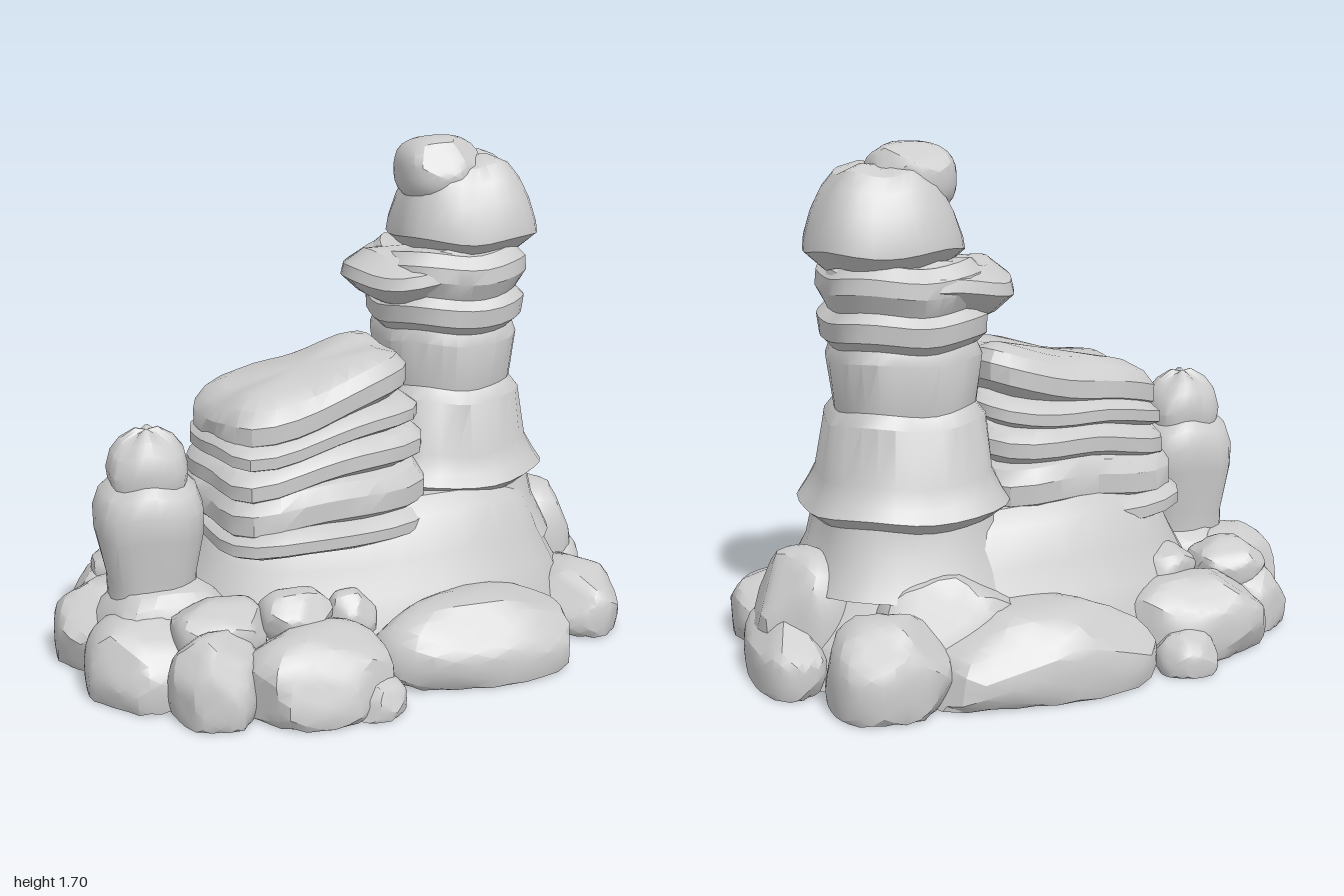
import * as THREE from 'three';
import { toCreasedNormals } from 'three/addons/utils/BufferGeometryUtils.js';

const FLOOR = 0.01;

function seeded(seed) {
  let s = seed * 7919 + 17;
  return () => (s = (s * 16807) % 2147483647) / 2147483647;
}

// Rounded-box footprint [x0, x1, z0, z1] lofted upward through a profile of [y, outset]
function strata([x0, x1, z0, z1], profile, { power = 2.6, seed = 1, slope = 0, sides = 32 } = {}) {
  const pos = [], idx = [], last = profile.length - 1, rough = 0.025;
  const cx = (x0 + x1) / 2, cz = (z0 + z1) / 2;
  profile.forEach(([y, outset], j) => {
    for (let i = 0; i < sides; i++) {
      const a = (i / sides) * Math.PI * 2, c = Math.cos(a), s = Math.sin(a);
      const r = Math.pow(Math.abs(c) ** power + Math.abs(s) ** power, -1 / power);
      const k = r * (1 + rough * (Math.sin(3 * a + seed + y * 5) * 0.6 + Math.sin(7 * a + seed * 2 - y * 9) * 0.5));
      const x = c * k * ((x1 - x0) / 2 + outset);
      const wave = y > FLOOR ? 0.01 * Math.sin(4 * a + seed) : 0;
      pos.push(cx + x, y + slope * x + wave, cz + s * k * ((z1 - z0) / 2 + outset));
      const A = j * sides + i, B = j * sides + (i + 1) % sides;
      if (j < last) idx.push(A, A + sides, B, B, A + sides, B + sides);
    }
  });
  // Close both ends
  [0, last].forEach((j) => {
    const m = pos.length / 3;
    pos.push(cx, profile[j][0], cz);
    for (let i = 0; i < sides; i++) {
      const a = j * sides + i, b = j * sides + (i + 1) % sides;
      if (j) idx.push(m, b, a);
      else idx.push(m, a, b);
    }
  });
  const g = new THREE.BufferGeometry();
  g.setAttribute('position', new THREE.Float32BufferAttribute(pos, 3));
  g.setIndex(idx);
  return toCreasedNormals(g, 0.55);
}

// Rounded stone chipped by random planes and cut flat at the floor
function boulder(x, z, rx, rz, bottom, top, seed) {
  const rnd = seeded(seed), planes = [];
  for (let i = 0; i < 16; i++) {
    const n = new THREE.Vector3(rnd() - 0.5, rnd() - 0.4, rnd() - 0.5).normalize();
    planes.push([n, 0.9 + rnd() * 0.1]);
  }
  const g = new THREE.IcosahedronGeometry(1, 5), p = g.attributes.position;
  const v = new THREE.Vector3(), size = new THREE.Vector3(rx, (top - bottom) / 2, rz);
  for (let i = 0; i < p.count; i++) {
    v.fromBufferAttribute(p, i).normalize();
    let k = v.toArray().reduce((sum, c) => sum + Math.abs(c) ** 2.7, 0) ** (-1 / 2.7);
    for (const [n, d] of planes) {
      const c = v.dot(n);
      if (c > 0.1) k = Math.min(k, d / c);
    }
    v.multiplyScalar(k).multiply(size);
    p.setXYZ(i, v.x + x, Math.max(FLOOR, v.y + (top + bottom) / 2), v.z + z);
  }
  g.deleteAttribute('normal');
  g.deleteAttribute('uv');
  return toCreasedNormals(g, 0.45);
}

export function createModel() {
  const model = new THREE.Group();
  model.name = 'rockFormation';
  const stone = new THREE.MeshStandardMaterial({ color: 0xcccccc });
  stone.name = 'stone';
  const add = (name, geometry, parent = model) => {
    const m = new THREE.Mesh(geometry, stone);
    m.name = name;
    parent.add(m);
  };

  // Spreading foot under everything
  add('foot', strata([-0.46, 0.71, -0.38, 0.28], [
    [FLOOR, 0.18], [0.14, 0.16], [0.26, 0.1], [0.36, 0.05], [0.48, 0], [0.53, -0.06],
  ], { seed: 3 }));

  // Tall tower with weathered ledges
  add('tower', strata([0.2, 0.7, -0.37, 0.13], [
    [0.3, 0.12], [0.42, 0.06], [0.51, 0.04], [0.55, 0.085], [0.59, 0.06], [0.65, 0.03],
    [0.83, 0.005], [0.87, -0.025], [1.03, -0.005], [1.07, -0.02], [1.1, 0.01],
    [1.16, 0.015], [1.19, -0.015], [1.25, 0.015], [1.3, 0.01], [1.34, -0.03],
  ], { seed: 5 }));
  add('overhang', strata([0.08, 0.7, -0.38, 0.13], [
    [1.15, -0.13], [1.19, -0.06], [1.25, 0], [1.29, -0.01], [1.34, -0.08],
  ], { seed: 2, slope: 0.06, power: 2.3 }));
  add('towerHead', strata([0.28, 0.75, -0.36, 0.1], [
    [1.32, -0.05], [1.38, 0.015], [1.42, 0.01], [1.5, -0.015], [1.57, -0.05], [1.62, -0.09], [1.64, -0.15],
  ], { seed: 4 }));
  add('capStone', boulder(0.42, -0.12, 0.145, 0.15, 1.48, 1.71, 9));

  // Layered block leaning on the tower: bottom, top, half length, half width, slope
  const block = new THREE.Group();
  block.name = 'layeredBlock';
  block.position.set(-0.12, 0, 0.01);
  block.rotation.y = 0.2;
  model.add(block);
  [
    [0.42, 0.53, 0.39, 0.35, 0],
    [0.48, 0.67, 0.38, 0.31, 0.03],
    [0.63, 0.77, 0.37, 0.285, 0.1],
    [0.74, 0.85, 0.36, 0.265, 0.12],
    [0.81, 0.98, 0.34, 0.235, 0.21],
  ].forEach(([low, high, l, w, slope], i) => {
    const profile = [[0, -0.05], [0.25, 0], [0.6, 0], [0.85, -0.03], [1, -0.09]]
      .map(([t, outset]) => [low + (high - low) * t, outset]);
    add('layer' + (i + 1), strata([-l, l, -w, w], profile, { power: 4.5, seed: i + 6, slope }), block);
  });

  // Short spire on the right-hand end
  add('spire', strata([-0.855, -0.5, -0.06, 0.27], [
    [0.24, -0.03], [0.34, -0.03], [0.5, 0], [0.58, 0], [0.64, -0.02], [0.67, -0.05],
    [0.71, -0.045], [0.77, -0.06], [0.81, -0.09], [0.84, -0.14],
  ], { sides: 24 }));

  // Boulders standing on the floor: x, z, radius, top, stretch along x
  [
    [0.33, 0.46, 0.2, 0.27, 1.8],
    [0.82, 0.21, 0.22, 0.23, 0.7],
    [0.8, -0.16, 0.19, 0.42, 0.9],
    [0.88, -0.2, 0.24, 0.24, 0.5],
    [0.64, -0.54, 0.19, 0.3],
    [0.16, -0.53, 0.23, 0.28, 1.8],
    [0.4, -0.42, 0.18, 0.38, 1.4],
    [-0.45, -0.45, 0.17, 0.27, 1.5],
    [-0.35, -0.61, 0.1, 0.14],
    [-0.74, -0.29, 0.14, 0.24],
    [-0.8, 0, 0.19, 0.29],
    [-0.66, 0.12, 0.25, 0.34],
    [-0.74, 0.29, 0.2, 0.27],
    [-0.57, 0.53, 0.15, 0.29],
    [-0.25, 0.56, 0.2, 0.27, 1.25],
    [-0.08, 0.66, 0.1, 0.12],
  ].forEach(([x, z, r, top, stretch = 1], i) =>
    add('boulder' + (i + 1), boulder(x, z, r * stretch, r, -top * 0.4, top, i + 21)));

  // Smaller stones perched on them: x, z, radius, top
  [
    [-0.4, -0.31, 0.11, 0.34],
    [-0.21, -0.37, 0.08, 0.32],
    [-0.68, -0.26, 0.12, 0.32],
    [-0.52, 0.38, 0.14, 0.33],
    [-0.27, 0.41, 0.11, 0.35],
    [-0.07, 0.37, 0.08, 0.3],
  ].forEach(([x, z, r, top], i) =>
    add('perchedStone' + (i + 1), boulder(x, z, r * 1.1, r, top - 0.2, top, i + 51)));

  return model;
}
